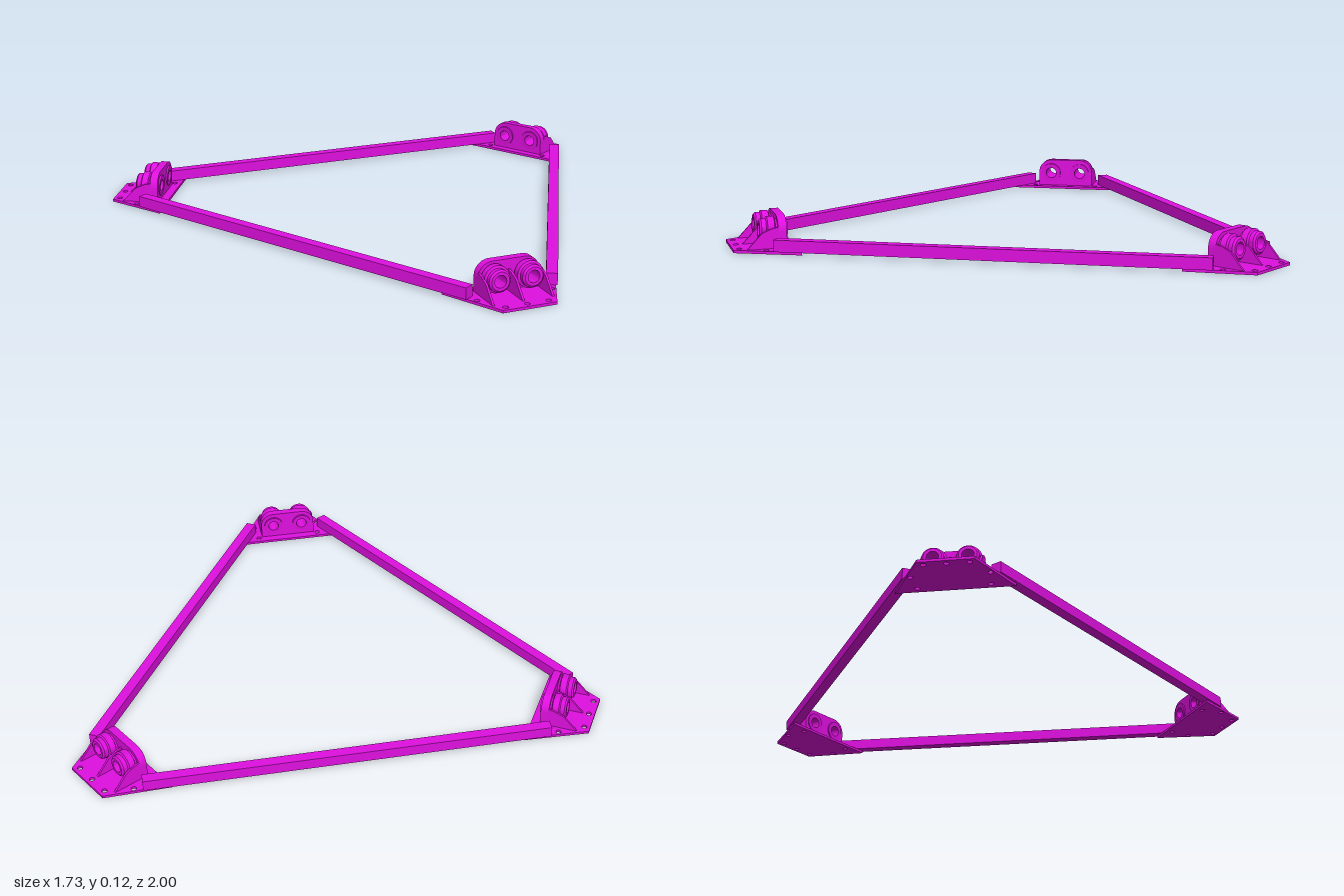
import * as THREE from 'three';
import { toCreasedNormals } from 'three/addons/utils/BufferGeometryUtils.js';

const material = new THREE.MeshStandardMaterial({ color: 0xe010e0 });
const CENTRE_X = 0.231; // centre of the triangle

function add(parent, geometry, name, x = 0, y = 0, z = 0) {
  const mesh = new THREE.Mesh(geometry, material);
  mesh.name = name;
  mesh.position.set(x, y, z);
  parent.add(mesh);
  return mesh;
}

function punch(shape, x, y, r) {
  const hole = new THREE.Path();
  hole.absarc(x, y, r, 0, Math.PI * 2, true);
  shape.holes.push(hole);
}

function extrude(shape, depth) {
  return new THREE.ExtrudeGeometry(shape, { depth, bevelEnabled: false, curveSegments: 20 });
}

// One corner bracket, +x pointing outwards from the triangle's centre
function createBracket() {
  const bracket = new THREE.Group();
  bracket.name = 'cornerBracket';

  // Trapezoid base plate with bolt holes
  const base = new THREE.Shape([
    [1.097, -0.1], [1.097, 0.1], [0.879, 0.215], [0.879, -0.215],
  ].map(([x, y]) => new THREE.Vector2(x, y)));
  punch(base, 1.075, 0, 0.01);
  for (const s of [-1, 1]) {
    punch(base, 1.075, s * 0.08, 0.01);
    punch(base, 0.99, s * 0.14, 0.01);
    punch(base, 0.905, s * 0.13, 0.01);
  }
  add(bracket, extrude(base, 0.01).rotateX(-Math.PI / 2), 'basePlate');

  // Upright wall with rounded shoulders and two bores
  const wall = new THREE.Shape();
  wall.moveTo(-0.115, 0.01);
  wall.lineTo(0.115, 0.01);
  wall.lineTo(0.115, 0.067);
  wall.absarc(0.062, 0.067, 0.053, 0, Math.PI / 2, false);
  wall.lineTo(-0.062, 0.12);
  wall.absarc(-0.062, 0.067, 0.053, Math.PI / 2, Math.PI, false);
  wall.lineTo(-0.115, 0.01);
  for (const s of [-1, 1]) punch(wall, s * 0.062, 0.067, 0.03);
  const wallGeometry = toCreasedNormals(extrude(wall, 0.03), 0.6);
  add(bracket, wallGeometry.rotateY(Math.PI / 2), 'bearingWall', 0.912);

  // Side and middle gussets
  const gusset = new THREE.Shape([
    [0.94, 0.01], [1.052, 0.01], [1.0, 0.065], [0.965, 0.08], [0.94, 0.085],
  ].map(([x, y]) => new THREE.Vector2(x, y)));
  for (const z of [-0.111, 0, 0.111]) {
    add(bracket, extrude(gusset, 0.008), 'gusset', 0, 0, z - 0.004);
  }

  // Flanged bearing sleeves with open bores
  const profile = [
    [0.022, -0.055], [0.04, -0.055], [0.04, -0.012], [0.048, -0.008], [0.048, 0.016],
    [0.04, 0.02], [0.04, 0.036], [0.033, 0.042], [0.022, 0.042], [0.022, -0.055],
  ].map(([x, y]) => new THREE.Vector2(x, y));
  const sleeve = toCreasedNormals(new THREE.LatheGeometry(profile, 32), 0.5);
  sleeve.rotateZ(-Math.PI / 2 + 0.06);
  for (const s of [-1, 1]) {
    add(bracket, sleeve, 'bearingSleeve', 0.962, 0.067, s * 0.062);
  }
  return bracket;
}

export function createModel() {
  const model = new THREE.Group();
  model.name = 'triangularFrame';

  const frame = new THREE.Group();
  frame.name = 'frame';
  frame.position.x = CENTRE_X;
  model.add(frame);

  // Three brackets at the corners, three bars along the sides
  for (let i = 0; i < 3; i++) {
    const turn = (i * Math.PI * 2) / 3;
    const bracket = createBracket();
    bracket.rotation.y = Math.PI + turn;
    frame.add(bracket);

    const side = new THREE.Group();
    side.name = 'side';
    side.rotation.y = turn;
    add(side, new THREE.BoxGeometry(0.04, 0.042, 1.51), 'sideBar', 0.615, 0.031, 0);
    frame.add(side);
  }
  return model;
}
